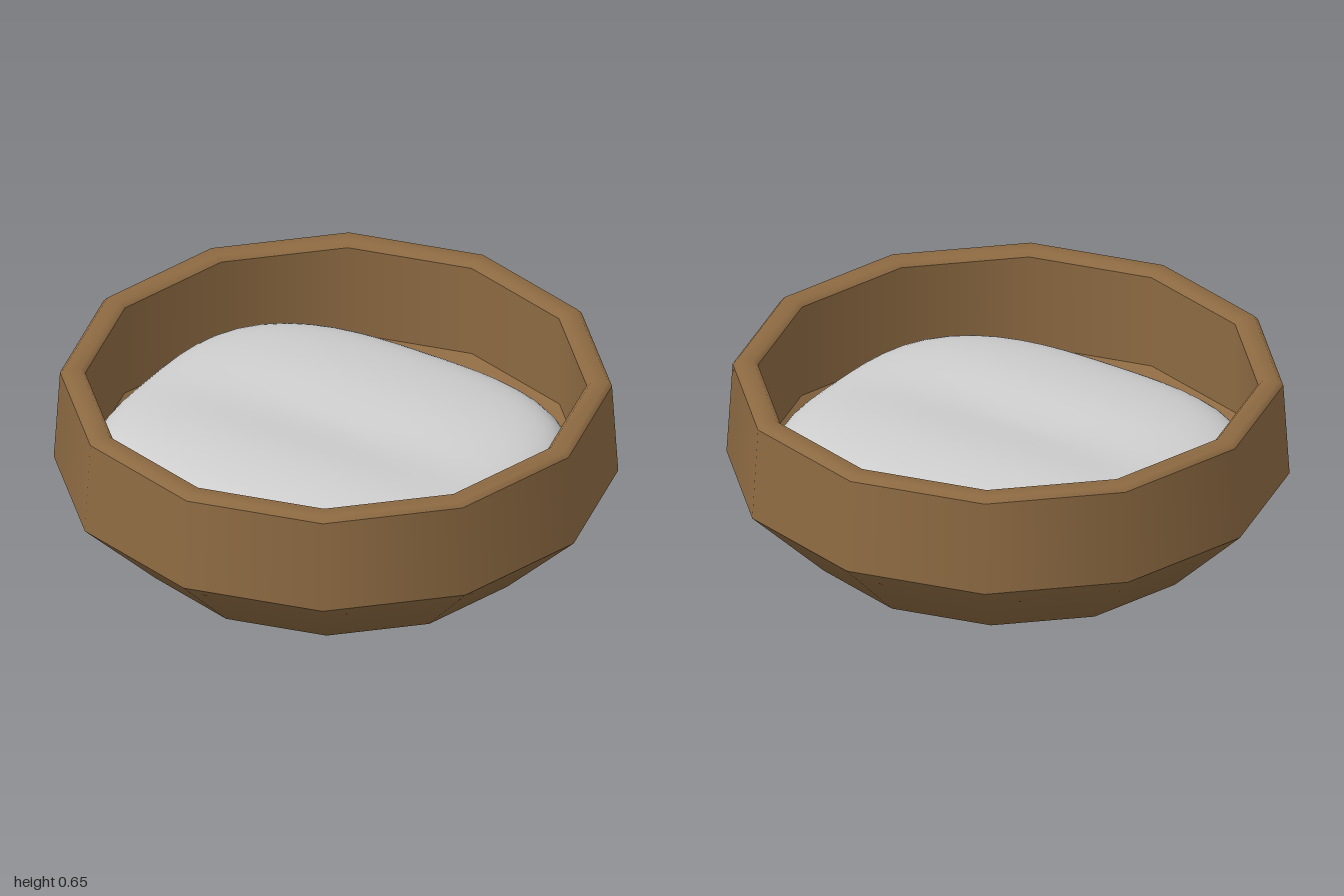
import * as THREE from 'three';
import { mergeVertices } from 'three/addons/utils/BufferGeometryUtils.js';

const brown = new THREE.MeshStandardMaterial({ color: 0x8d6a42 });
brown.name = 'brown bowl';
const grey = new THREE.MeshStandardMaterial({ color: 0xcecece });
grey.name = 'light grey fabric';

const vectors = (pairs) => pairs.map(([x, y]) => new THREE.Vector2(x, y));

// Twelve-sided ring of the bowl; separate bands keep the edges between them sharp
function band(name, pairs) {
  const mesh = new THREE.Mesh(new THREE.LatheGeometry(vectors(pairs), 12), brown);
  mesh.name = name;
  return mesh;
}

// Soft cushion: a turned profile reshaped to a rounded rectangle with a shallow valley
function cushion() {
  const profile = new THREE.SplineCurve(vectors([
    [0, 0.12], [0.5, 0.12], [0.8, 0.13], [0.96, 0.2], [1, 0.28], [0.965, 0.36],
    [0.88, 0.415], [0.7, 0.45], [0.4, 0.47], [0, 0.475],
  ])).getPoints(36);
  profile[0].x = profile[36].x = 0;
  let geometry = new THREE.LatheGeometry(profile, 56);
  geometry.deleteAttribute('normal');
  geometry.deleteAttribute('uv');
  const p = geometry.attributes.position;
  for (let i = 0; i < p.count; i++) {
    const s = Math.hypot(p.getX(i), p.getZ(i));
    const c = s > 0 ? p.getX(i) / s : 0;
    const d = s > 0 ? p.getZ(i) / s : 1;
    const r = s / Math.cbrt(Math.abs(c / 0.81) ** 3 + Math.abs(d / 0.695) ** 3);
    const x = r * c, z = r * d;
    const dip = p.getY(i) > 0.35
      ? 0.03 * Math.max(0, 1 - s * s) * Math.exp(-(((z - 0.03) / 0.2) ** 2)) : 0;
    p.setXYZ(i, x - 0.02, p.getY(i) - dip, z - 0.005);
  }
  geometry = mergeVertices(geometry, 1e-5);
  geometry.computeVertexNormals();
  const mesh = new THREE.Mesh(geometry, grey);
  mesh.name = 'cushion';
  return mesh;
}

export function createModel() {
  const model = new THREE.Group();
  model.name = 'pet bed';

  const bowl = new THREE.Group();
  bowl.name = 'bowl';
  bowl.add(
    band('bowlBase', [[0, 0], [0.72, 0.012], [1, 0.285]]),
    band('outerWall', [[1, 0.285], [0.978, 0.635]]),
    band('rim', [[0.978, 0.635], [0.962, 0.653], [0.905, 0.653], [0.888, 0.635]]),
    band('innerWall', [[0.888, 0.635], [0.89, 0.28]]),
    band('innerFloor', [[0.89, 0.28], [0.71, 0.1], [0, 0.09]]),
  );

  model.add(bowl, cushion());
  return model;
}
